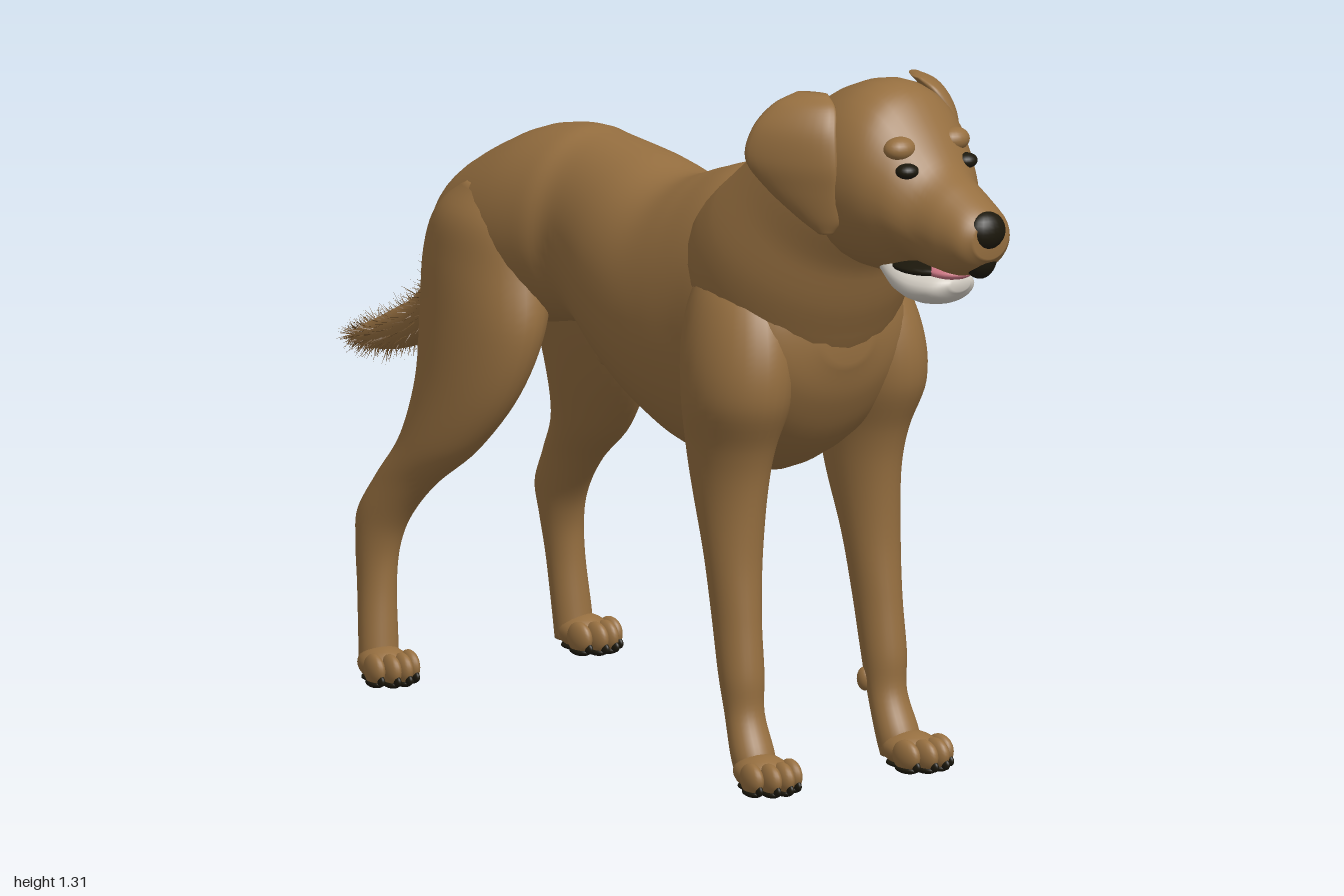
import * as THREE from 'three';

const mat = (name, color) => {
  const m = new THREE.MeshStandardMaterial({ color });
  m.name = name;
  return m;
};

// Skin over elliptical rings. Row: [x, y, z, sideRadius, otherRadius, upperWidening].
// axis fixes the plane of all rings; without it they follow the path.
function loft(rows, axis = null, seg = 28, sub = 6) {
  const v3 = (f) => new THREE.CatmullRomCurve3(rows.map(f), false, 'catmullrom', 0.5);
  const path = v3((r) => new THREE.Vector3(r[0], r[1], r[2]));
  const size = v3((r) => new THREE.Vector3(r[3], r[4], r[5] || 0));
  const n = (rows.length - 1) * sub;
  const side = new THREE.Vector3(1, 0, 0);
  const pos = [], idx = [];
  for (let i = 0; i <= n; i++) {
    const c = path.getPoint(i / n), s = size.getPoint(i / n);
    const t = axis ? axis.clone() : path.getTangent(i / n).setX(0).normalize();
    const up = t.cross(side);
    for (let j = 0; j < seg; j++) {
      const a = (j / seg) * Math.PI * 2, sn = Math.sin(a);
      const p = c.clone()
        .addScaledVector(side, Math.max(s.x, 0.001) * Math.cos(a) * (1 + s.z * sn))
        .addScaledVector(up, Math.max(s.y, 0.001) * sn);
      pos.push(p.x, p.y, p.z);
      if (i < n) {
        const k = (j + 1) % seg, A = i * seg + j, B = i * seg + k;
        idx.push(A, B, B + seg, A, B + seg, A + seg);
      }
    }
  }
  // close both ends
  const first = path.getPoint(0), last = path.getPoint(1), e = pos.length / 3;
  pos.push(first.x, first.y, first.z, last.x, last.y, last.z);
  for (let j = 0; j < seg; j++) {
    const k = (j + 1) % seg;
    idx.push(e, k, j, e + 1, n * seg + j, n * seg + k);
  }
  const g = new THREE.BufferGeometry();
  g.setAttribute('position', new THREE.Float32BufferAttribute(pos, 3));
  g.setIndex(idx);
  g.computeVertexNormals();
  return g;
}

export function createModel() {
  const coat = mat('golden brown coat', 0x966f40);
  const black = mat('black skin', 0x1c180c);
  const white = mat('pale jaw', 0xd6d0c6);
  const pink = mat('pink tongue', 0xcf7886);
  const fur = mat('dark fur tips', 0x6a4d2a);
  fur.side = THREE.DoubleSide;

  const Y = new THREE.Vector3(0, -1, 0), Z = new THREE.Vector3(0, 0, 1);
  const dog = new THREE.Group();
  dog.name = 'dog';
  const add = (parent, name, geo, material) => {
    const m = new THREE.Mesh(geo, material);
    m.name = name;
    parent.add(m);
    return m;
  };
  const blob = (parent, name, material, p, r) => {
    const m = add(parent, name, new THREE.SphereGeometry(1, 20, 14), material);
    m.position.set(...p);
    m.scale.set(...r);
    return m;
  };
  // mirrored copy of rows for the right side
  const flip = (rows, s) => rows.map(([x, ...rest]) => [x * s, ...rest]);

  // Torso: rump, loin, ribcage, breast
  add(dog, 'torso', loft([
    [0, 0.82, -0.535, 0.07, 0.06], [0, 0.82, -0.50, 0.14, 0.115],
    [0, 0.825, -0.42, 0.165, 0.16], [0, 0.85, -0.32, 0.165, 0.18],
    [0, 0.87, -0.22, 0.15, 0.18], [0.005, 0.866, -0.15, 0.138, 0.18],
    [0.005, 0.822, -0.02, 0.165, 0.213], [0, 0.79, 0.10, 0.178, 0.23],
    [0, 0.79, 0.20, 0.182, 0.26], [0, 0.80, 0.30, 0.182, 0.278],
    [0, 0.80, 0.40, 0.188, 0.26], [0, 0.80, 0.50, 0.18, 0.20],
    [0, 0.81, 0.56, 0.14, 0.125], [0, 0.81, 0.59, 0.05, 0.045],
  ], Z, 36), coat);
  add(dog, 'neck', loft([
    [0, 0.80, 0.30, 0.13, 0.17], [0, 0.87, 0.39, 0.185, 0.205],
    [0, 0.955, 0.465, 0.195, 0.19], [0, 1.05, 0.54, 0.17, 0.16],
    [0, 1.13, 0.62, 0.145, 0.14], [0, 1.17, 0.68, 0.10, 0.10],
  ], null, 32), coat);
  const sheath = blob(dog, 'sheath', coat, [0, 0.665, -0.11], [0.03, 0.035, 0.075]);
  sheath.rotation.x = -0.45;

  // Tail with short fringe
  const tailGeo = loft([
    [0, 0.92, -0.43, 0.05, 0.05], [0.005, 0.88, -0.50, 0.054, 0.052],
    [0.01, 0.78, -0.585, 0.046, 0.043], [0.015, 0.69, -0.64, 0.044, 0.042],
    [0.02, 0.605, -0.725, 0.044, 0.042], [0.02, 0.555, -0.83, 0.036, 0.035],
    [0.02, 0.528, -0.92, 0.022, 0.021], [0.02, 0.52, -0.965, 0.004, 0.004],
  ], null, 20, 8);
  add(dog, 'tail', tailGeo, coat);
  let seed = 7;
  const rnd = () => (seed = (seed * 16807) % 2147483647) / 2147483647;
  const P = tailGeo.attributes.position, N = tailGeo.attributes.normal, hair = [];
  for (let i = 240; i < P.count - 2; i++) {
    const p = new THREE.Vector3().fromBufferAttribute(P, i);
    const n = new THREE.Vector3().fromBufferAttribute(N, i);
    const w = new THREE.Vector3(rnd() - 0.5, rnd() - 0.5, rnd() - 0.5).setLength(0.0012);
    const tip = p.clone().addScaledVector(n, 0.008 + 0.02 * rnd());
    tip.y -= 0.006 * rnd();
    tip.z -= 0.016 * rnd();
    hair.push(...p.clone().sub(w).toArray(), ...p.clone().add(w).toArray(), ...tip.toArray());
  }
  const hairGeo = new THREE.BufferGeometry();
  hairGeo.setAttribute('position', new THREE.Float32BufferAttribute(hair, 3));
  hairGeo.computeVertexNormals();
  add(dog, 'tailFringe', hairGeo, fur);

  // Legs
  const frontRows = [
    [0.10, 0.95, 0.41, 0.05, 0.06], [0.125, 0.88, 0.43, 0.075, 0.105],
    [0.14, 0.79, 0.445, 0.088, 0.125], [0.147, 0.70, 0.45, 0.087, 0.12],
    [0.145, 0.61, 0.43, 0.07, 0.10], [0.145, 0.53, 0.428, 0.06, 0.083],
    [0.15, 0.41, 0.445, 0.05, 0.058], [0.153, 0.30, 0.46, 0.042, 0.05],
    [0.155, 0.20, 0.477, 0.04, 0.044], [0.155, 0.13, 0.487, 0.036, 0.036],
    [0.157, 0.06, 0.515, 0.04, 0.04], [0.157, 0.02, 0.525, 0.036, 0.036],
  ];
  const hindRows = [
    [0.08, 0.93, -0.36, 0.06, 0.08], [0.095, 0.87, -0.375, 0.085, 0.125],
    [0.102, 0.79, -0.38, 0.09, 0.15], [0.118, 0.68, -0.37, 0.082, 0.157],
    [0.14, 0.56, -0.385, 0.068, 0.132], [0.165, 0.45, -0.437, 0.052, 0.10],
    [0.182, 0.37, -0.515, 0.04, 0.075], [0.193, 0.30, -0.567, 0.038, 0.064],
    [0.20, 0.24, -0.577, 0.036, 0.047], [0.205, 0.17, -0.573, 0.034, 0.038],
    [0.21, 0.08, -0.562, 0.036, 0.035], [0.213, 0.02, -0.555, 0.036, 0.036],
  ];
  const paw = (name, x, z, s, k) => {
    const g = new THREE.Group();
    g.name = name;
    g.position.set(x * s, 0, z);
    g.rotation.y = 0.1 * s;
    dog.add(g);
    blob(g, 'instep', coat, [0, 0.035, 0], [0.047 * k, 0.032, 0.055 * k]);
    for (let i = 0; i < 4; i++) {
      const u = i - 1.5, inner = Math.abs(u) < 1;
      const tx = u * 0.025 * k, tz = (inner ? 0.05 : 0.032) * k;
      blob(g, 'toe', coat, [tx, 0.032, tz], [0.0155 * k, 0.029, 0.032 * k]);
      blob(g, 'claw', black, [tx, 0.016, tz + 0.025 * k], [0.006, 0.01, 0.011]);
      blob(g, 'toePad', black, [tx, 0.008, tz], [0.013 * k, 0.008, 0.026 * k]);
    }
    blob(g, 'heelPad', black, [0, 0.009, -0.008], [0.038 * k, 0.009, 0.036 * k]);
  };
  for (const s of [1, -1]) {
    const side = s > 0 ? 'left' : 'right';
    add(dog, side + 'FrontLeg', loft(flip(frontRows, s), Y), coat);
    add(dog, side + 'HindLeg', loft(flip(hindRows, s), Y), coat);
    blob(dog, side + 'Dewclaw', coat, [0.125 * s, 0.15, 0.462], [0.014, 0.022, 0.016]);
    paw(side + 'FrontPaw', 0.162, 0.55, s, 1.05);
    paw(side + 'HindPaw', 0.218, -0.535, s, 0.95);
  }

  // Head, turned slightly to its left
  const turn = new THREE.Group();
  turn.name = 'head';
  turn.position.z = 0.6;
  turn.rotation.y = 0.08;
  dog.add(turn);
  const head = new THREE.Group();
  head.name = 'headParts';
  head.position.z = -0.6;
  turn.add(head);
  add(head, 'skullAndMuzzle', loft([
    [0, 1.13, 0.50, 0.05, 0.05], [0, 1.12, 0.54, 0.11, 0.115],
    [0, 1.13, 0.61, 0.14, 0.15], [0, 1.133, 0.69, 0.145, 0.172, 0.05],
    [0, 1.13, 0.755, 0.135, 0.162, 0.05], [0, 1.115, 0.81, 0.112, 0.122],
    [0, 1.082, 0.86, 0.084, 0.094], [0, 1.065, 0.914, 0.073, 0.08],
    [0, 1.06, 0.96, 0.062, 0.058], [0, 1.062, 0.985, 0.04, 0.035],
  ], Z, 32), coat);
  add(head, 'lowerJaw', loft([
    [0, 0.985, 0.73, 0.05, 0.03], [0, 0.965, 0.78, 0.064, 0.037],
    [0, 0.955, 0.83, 0.065, 0.035], [0, 0.957, 0.875, 0.052, 0.028],
    [0, 0.965, 0.90, 0.022, 0.012],
  ], Z, 24), white);
  blob(head, 'gums', black, [0, 0.985, 0.81], [0.062, 0.014, 0.075]);
  blob(head, 'tongue', pink, [0, 0.985, 0.865], [0.04, 0.014, 0.05]);
  blob(head, 'nose', black, [0, 1.075, 0.968], [0.041, 0.036, 0.029]);
  blob(head, 'lipGroove', black, [0.003, 1.025, 0.95], [0.032, 0.04, 0.029]);

  // Eyes and folded ears
  const earRows = [
    [-0.045, 1.285, 0.01, 0.012, 0.03], [-0.02, 1.265, 0.005, 0.02, 0.06],
    [0.005, 1.225, -0.004, 0.019, 0.08], [0.015, 1.17, -0.006, 0.016, 0.088],
    [0.01, 1.12, 0.012, 0.014, 0.07], [0, 1.07, 0.04, 0.013, 0.043],
    [-0.005, 1.04, 0.052, 0.008, 0.014],
  ];
  for (const s of [1, -1]) {
    const side = s > 0 ? 'left' : 'right';
    blob(head, side + 'Eye', black, [0.068 * s, 1.17, 0.833], [0.022, 0.014, 0.02]);
    blob(head, side + 'Brow', coat, [0.062 * s, 1.205, 0.805], [0.032, 0.022, 0.026]);
    const ear = add(head, side + 'Ear', loft(flip(earRows, s), Y, 24), coat);
    ear.position.set(0.165 * s, 0, 0.645);
    ear.rotation.y = -0.5 * s;
  }
  return dog;
}
